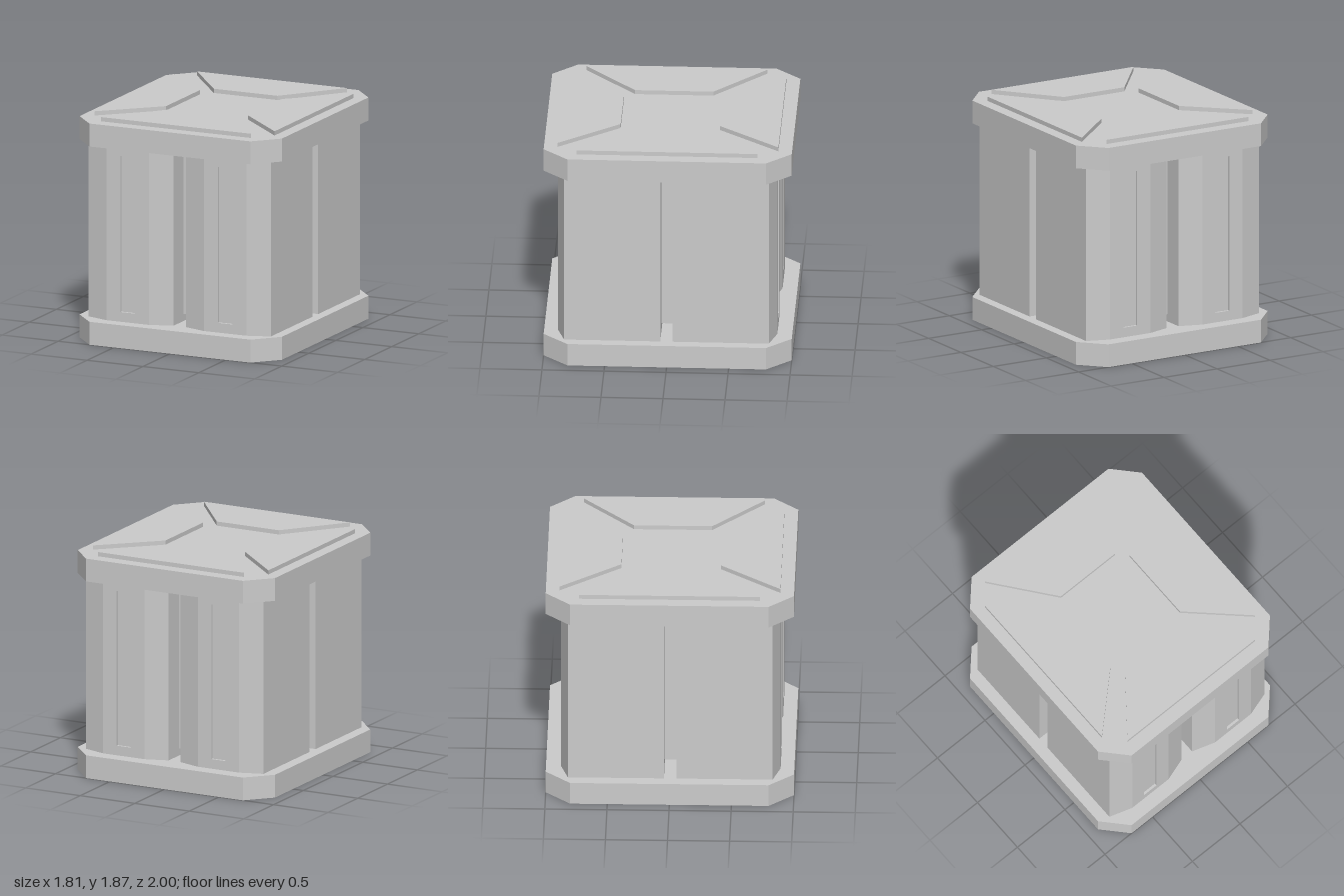
import * as THREE from 'three';

const material = new THREE.MeshStandardMaterial({ color: 0xcccccc, flatShading: true });

const shapeOf = (points) => new THREE.Shape(points.map(([x, y]) => new THREE.Vector2(x, y)));

// Upright prism from an outline of [x, z] points, between two heights
function prism(name, outline, bottom, top) {
  const geometry = new THREE.ExtrudeGeometry(shapeOf(outline), { depth: top - bottom, bevelEnabled: false });
  geometry.rotateX(Math.PI / 2).translate(0, top, 0);
  const mesh = new THREE.Mesh(geometry, material);
  mesh.name = name;
  return mesh;
}

const BASE_TOP = 0.19, LID_BOTTOM = 1.64, LID_TOP = 1.83;
const SLOT_DEPTH = 0.02;

// One pillar: chamfered outer side (+z) with a tall recessed slot
function createPillar(name) {
  const pillar = new THREE.Group();
  pillar.name = name;
  const half = 0.38, flat = 0.19, depth = 0.835, shoulder = 0.775;
  pillar.add(prism('pillarBody', [
    [-half, 0], [half, 0], [half, shoulder], [flat, depth], [flat, depth - SLOT_DEPTH],
    [-flat, depth - SLOT_DEPTH], [-flat, depth], [-half, shoulder],
  ], BASE_TOP, LID_BOTTOM));

  // Face plate whose opening forms the slot
  const plate = shapeOf([[-flat, BASE_TOP], [flat, BASE_TOP], [flat, LID_BOTTOM], [-flat, LID_BOTTOM]]);
  plate.holes.push(shapeOf([[-0.065, 0.27], [-0.065, 1.56], [0.065, 1.56], [0.065, 0.27]]));
  const face = new THREE.Mesh(
    new THREE.ExtrudeGeometry(plate, { depth: SLOT_DEPTH, bevelEnabled: false }), material);
  face.position.z = depth - SLOT_DEPTH;
  face.name = 'slottedFace';
  pillar.add(face);
  return pillar;
}

export function createModel() {
  const model = new THREE.Group();
  model.name = 'crate';

  // Base and lid slabs with cut corners
  const slab = [
    [-0.72, 1], [-0.905, 0.8], [-0.905, -0.8], [-0.72, -1],
    [0.72, -1], [0.905, -0.8], [0.905, 0.8], [0.72, 1],
  ];
  model.add(prism('base', slab, 0, BASE_TOP), prism('lid', slab, LID_BOTTOM, LID_TOP));

  // Inner core behind the gaps, clear of base and lid
  const core = new THREE.Mesh(new THREE.BoxGeometry(1.2, 1.36, 1.3), material);
  core.position.y = 0.93;
  core.name = 'core';
  model.add(core);

  // Four pillars, the rear pair turned around
  for (const [side, x] of [['left', 0.44], ['right', -0.43]]) {
    const front = createPillar(side + 'FrontPillar');
    front.position.set(x, 0, 0.055);
    const back = createPillar(side + 'BackPillar');
    back.position.set(x, 0, -0.045);
    back.rotation.y = Math.PI;
    model.add(front, back);
  }

  // Raised trapezoid panels on the lid
  const endPanel = [[-0.67, 0.89], [0.67, 0.89], [0.285, 0.4], [-0.285, 0.4]];
  const sidePanel = [[0.805, 0.73], [0.805, -0.73], [0.365, -0.315], [0.365, 0.315]];
  for (const s of [1, -1]) {
    const turn = ([x, z]) => [x * s, z * s];
    model.add(
      prism(s > 0 ? 'frontLidPanel' : 'backLidPanel', endPanel.map(turn), LID_TOP, 1.865),
      prism(s > 0 ? 'leftLidPanel' : 'rightLidPanel', sidePanel.map(turn), LID_TOP, 1.865));
  }
  return model;
}
